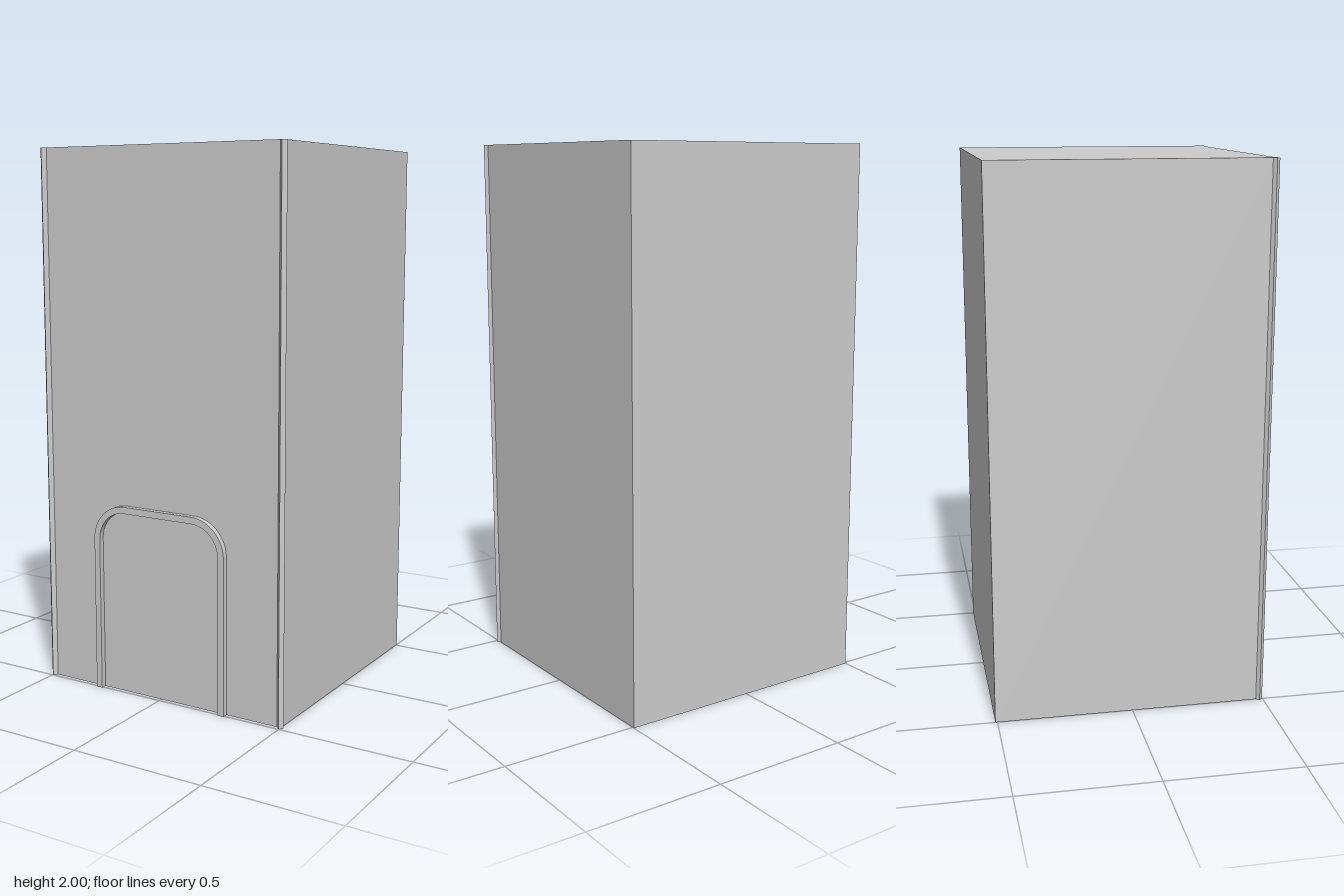
import * as THREE from 'three';

const HEIGHT = 2;
const FRONT = 0.485;
const BACK = -0.508;

// Arch outline from one foot over the rounded top to the other foot
function archPoints(halfWidth, top, radius) {
  const path = new THREE.Path();
  path.moveTo(-halfWidth, 0);
  path.lineTo(-halfWidth, top - radius);
  path.absarc(-halfWidth + radius, top - radius, radius, Math.PI, Math.PI / 2, true);
  path.lineTo(halfWidth - radius, top);
  path.absarc(halfWidth - radius, top - radius, radius, Math.PI / 2, 0, true);
  path.lineTo(halfWidth, 0);
  return path.getPoints(12);
}

export function createModel() {
  const group = new THREE.Group();
  const material = new THREE.MeshStandardMaterial({ color: 0xcccccc });

  function add(name, geometry, x, y, z) {
    const mesh = new THREE.Mesh(geometry, material);
    mesh.name = name;
    mesh.position.set(x, y, z);
    group.add(mesh);
    return mesh;
  }

  // Main block
  add('body', new THREE.BoxGeometry(1, HEIGHT, FRONT - BACK), 0, HEIGHT / 2, (FRONT + BACK) / 2);

  // Square corner trims turned 45 degrees on the front edges
  const trim = new THREE.BoxGeometry(0.019, HEIGHT, 0.019);
  for (const [name, side] of [['leftCornerTrim', 1], ['rightCornerTrim', -1]]) {
    add(name, trim, side * 0.498, HEIGHT / 2, FRONT).rotation.y = Math.PI / 4;
  }

  // Raised frame around the doorway
  const outer = archPoints(0.28, 0.71, 0.135);
  const inner = archPoints(0.256, 0.685, 0.11);
  const frame = new THREE.Shape([...outer, ...inner.reverse()]);
  add('doorFrame', new THREE.ExtrudeGeometry(frame, { depth: 0.026, bevelEnabled: false }), 0, 0, 0.48);

  return group;
}
